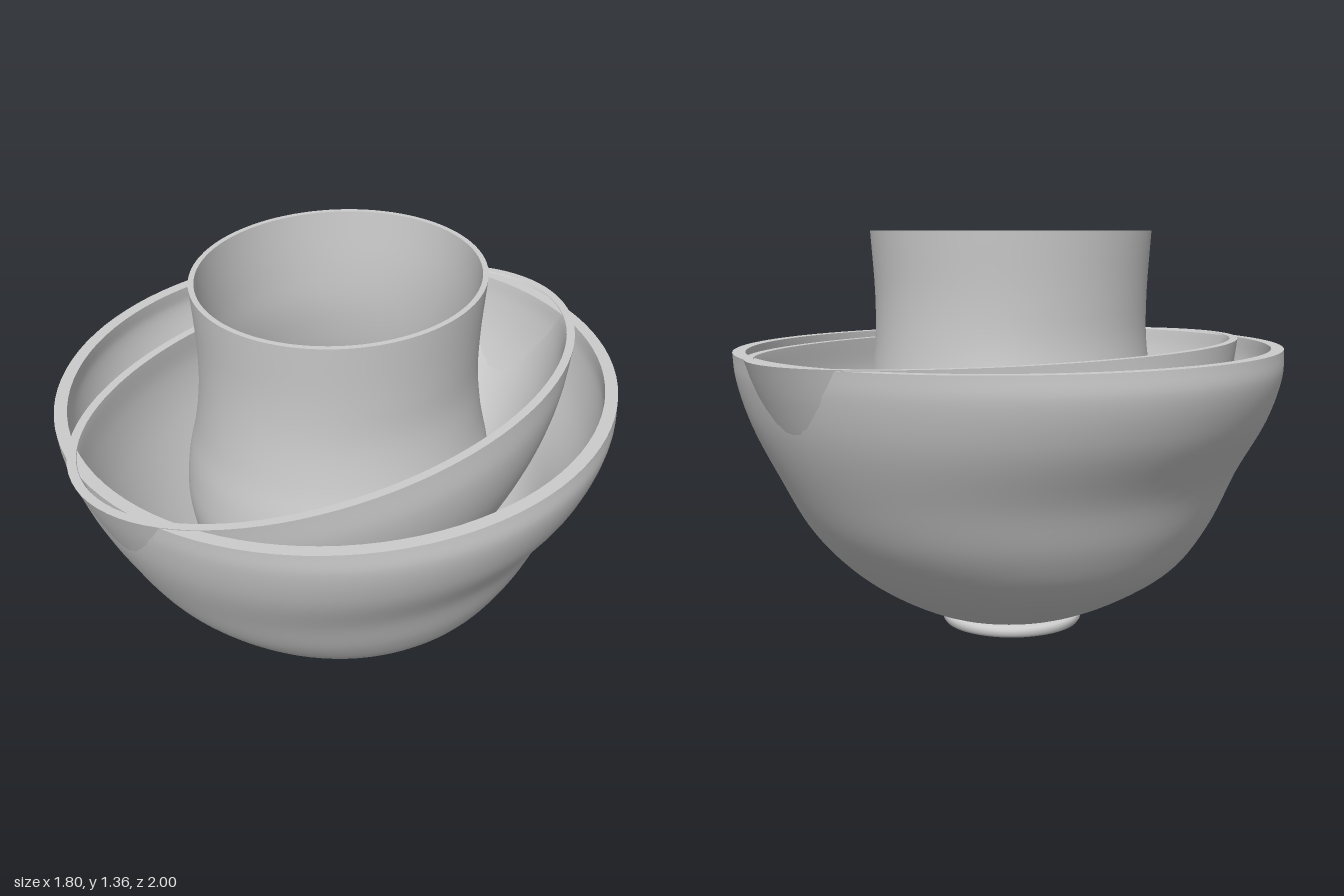
import * as THREE from 'three';
import { mergeGeometries } from 'three/addons/utils/BufferGeometryUtils.js';

const SIDES = 96;
const STEPS = 48;
const material = new THREE.MeshStandardMaterial({ color: 0xcccccc, side: THREE.DoubleSide });

// Skin a stack of elliptical rings, each a vector (half width, height, half depth)
function loft(rings) {
  const positions = [], index = [];
  for (const r of rings) {
    for (let i = 0; i < SIDES; i++) {
      const a = (i / SIDES) * Math.PI * 2;
      positions.push(r.x * Math.cos(a), r.y, r.z * Math.sin(a));
    }
  }
  for (let j = 0; j < rings.length - 1; j++) {
    for (let i = 0; i < SIDES; i++) {
      const a = j * SIDES + i, b = j * SIDES + ((i + 1) % SIDES);
      index.push(a, a + SIDES, b, b, a + SIDES, b + SIDES);
    }
  }
  const g = new THREE.BufferGeometry();
  g.setAttribute('position', new THREE.Float32BufferAttribute(positions, 3));
  g.setIndex(index);
  g.computeVertexNormals();
  return g;
}

// Hollow vessel: smooth outside, flat rim, inside offset by the wall thickness
function vessel(name, profile, wall) {
  const curve = new THREE.CatmullRomCurve3(profile.map(([y, x, z]) => new THREE.Vector3(x, y, z)), false, 'centripetal');
  const outer = [], inner = [];
  for (let i = 0; i <= STEPS; i++) {
    const p = curve.getPoint(i / STEPS), t = curve.getTangent(i / STEPS);
    const dr = (t.x + t.z) / 2, len = Math.hypot(dr, t.y);
    const inset = (wall * t.y) / len;
    outer.push(p);
    inner.push(new THREE.Vector3(
      i === 0 ? 0 : Math.max(0, p.x - inset),
      i === STEPS ? p.y : p.y + (wall * dr) / len,
      i === 0 ? 0 : Math.max(0, p.z - inset)));
  }
  const rim = loft([outer[STEPS], inner[STEPS]]);
  const mesh = new THREE.Mesh(mergeGeometries([loft(outer), rim, loft(inner.reverse())]), material);
  mesh.name = name;
  return mesh;
}

// Solid of revolution from [radius, height] pairs
function turned(name, points) {
  const g = new THREE.LatheGeometry(points.map(([r, y]) => new THREE.Vector2(r, y)), SIDES);
  const mesh = new THREE.Mesh(g, material);
  mesh.name = name;
  return mesh;
}

export function createModel() {
  const group = new THREE.Group();
  group.name = 'nestedBowls';

  // Profiles list [height, half width, half depth] from the bottom up
  group.add(vessel('outerBowl', [
    [0.03, 0, 0], [0.035, 0.12, 0.12], [0.06, 0.26, 0.27], [0.145, 0.445, 0.45], [0.25, 0.59, 0.59],
    [0.385, 0.675, 0.715], [0.555, 0.745, 0.815], [0.745, 0.855, 0.902],
    [0.89, 0.9, 0.943], [0.97, 0.895, 0.955],
  ], 0.042));

  // Narrow boat-shaped bowl whose ends break through the outer wall
  group.add(vessel('middleBowl', [
    [0.09, 0, 0], [0.1, 0.12, 0.18], [0.17, 0.27, 0.4], [0.3, 0.4, 0.58], [0.5, 0.51, 0.755],
    [0.7, 0.585, 0.877], [0.85, 0.61, 0.948], [0.973, 0.603, 1.0],
  ], 0.03));

  // Tall cup with a waist and a flared lip
  group.add(vessel('innerCup', [
    [0.14, 0, 0], [0.15, 0.18, 0.18], [0.23, 0.35, 0.36], [0.38, 0.475, 0.485], [0.55, 0.515, 0.527],
    [0.7, 0.505, 0.52], [0.85, 0.466, 0.494], [1.0, 0.443, 0.478], [1.15, 0.444, 0.475], [1.36, 0.456, 0.49],
  ], 0.018));

  // Shallow dish in the bottom of the cup
  group.add(turned('cupFloor', [[0.325, 0.245], [0.2, 0.225], [0.09, 0.215], [0, 0.213]]));

  // Low rounded foot
  group.add(turned('foot', [
    [0, 0], [0.215, 0], [0.22, 0.001], [0.234, 0.006], [0.241, 0.016], [0.241, 0.03], [0.235, 0.038], [0.2, 0.046],
  ]));
  return group;
}
